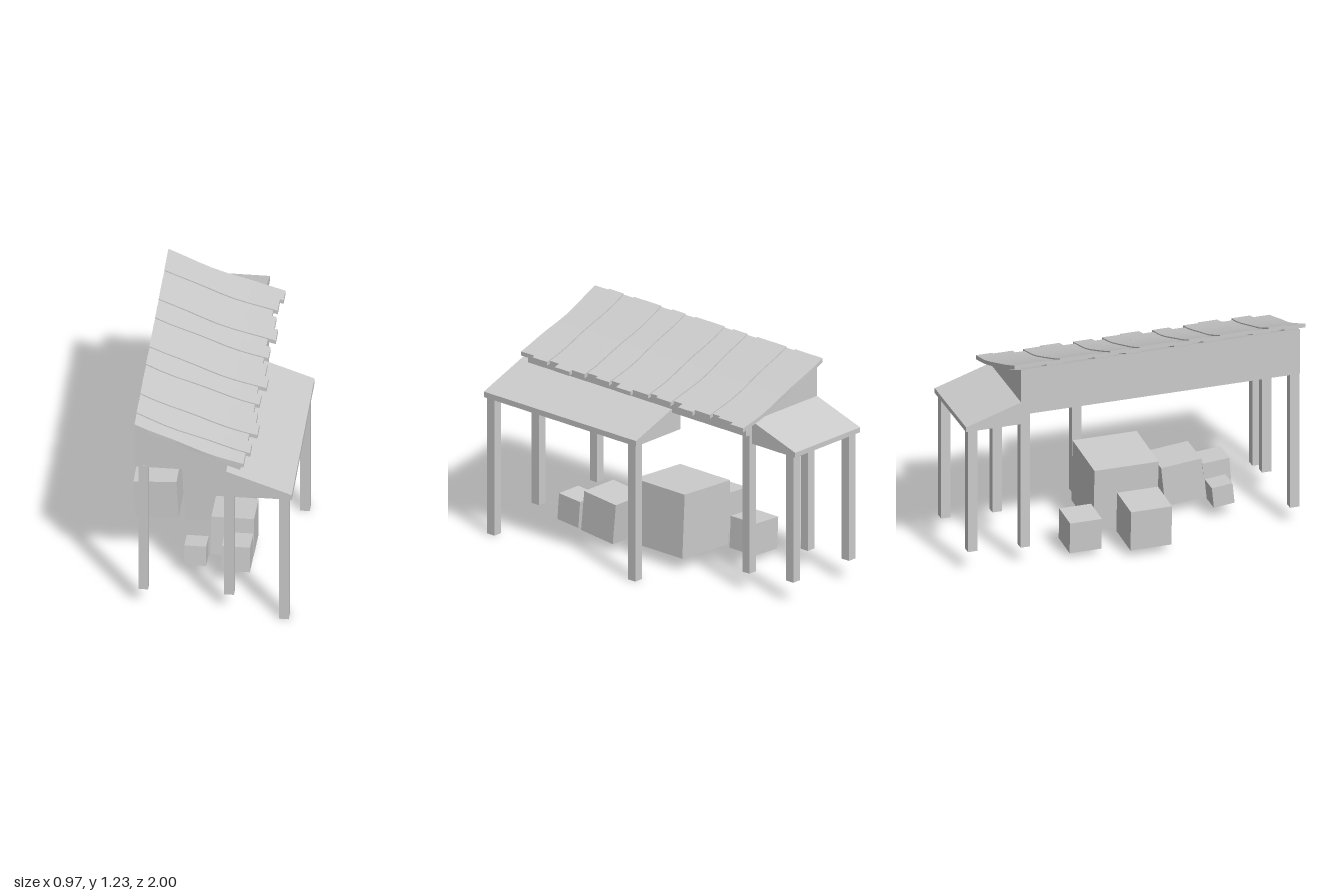
import * as THREE from 'three';

const mat = new THREE.MeshStandardMaterial({ color: 0xcccccc, flatShading: true, side: THREE.DoubleSide });

// Height of the sagging main roof at a given x
const roofY = (x) => 1.073 - 0.335 * x + 0.16 * x * x;

function add(parent, name, geometry, x = 0, y = 0, z = 0) {
  const mesh = new THREE.Mesh(geometry, mat);
  mesh.name = name;
  mesh.position.set(x, y, z);
  parent.add(mesh);
  return mesh;
}

function polygon(points) {
  return new THREE.Shape(points.map(([x, y]) => new THREE.Vector2(x, y)));
}

// Strip running down the roof curve, with wavering long edges
function roofStrip(x0, x1, z0, z1, thickness, lift, wobble = 0, seed = 0) {
  const geo = new THREE.BoxGeometry(1, 1, 1, 8, 1, 1);
  const p = geo.attributes.position;
  for (let i = 0; i < p.count; i++) {
    const t = p.getX(i) + 0.5;
    const x = x0 + (x1 - x0) * t;
    const side = p.getZ(i) > 0 ? 1 : -1;
    const waver = wobble * Math.sin(t * Math.PI) * Math.sin(t * 7 + seed * 2.3 + side);
    const y = roofY(x) + lift + (p.getY(i) - 0.5) * thickness;
    p.setXYZ(i, x, y, (side > 0 ? z1 : z0) + waver);
  }
  return geo;
}

export function createModel() {
  const model = new THREE.Group();
  model.name = 'openShed';

  // Main roof body: thin walls, open underneath
  const body = new THREE.Group();
  body.name = 'mainRoofBody';
  model.add(body);
  const xL = -0.39, xR = 0.19, zF = 0.94, zB = -0.68, base = 0.922, drop = 0.036;
  const outline = [[xL, base], [xR, base]];
  for (let i = 0; i <= 8; i++) {
    const x = xR + ((xL - xR) * i) / 8;
    outline.push([x, roofY(x) - drop]);
  }
  add(body, 'frontGable', new THREE.ShapeGeometry(polygon(outline)), 0, 0, zF);
  add(body, 'backGable', new THREE.ShapeGeometry(polygon(outline)), 0, 0, zB);
  for (const [name, x] of [['leftWall', xR], ['rightWall', xL]]) {
    const h = roofY(x) - drop - base;
    const wall = new THREE.PlaneGeometry(zF - zB, h).rotateY(x > 0 ? Math.PI / 2 : -Math.PI / 2);
    add(body, name, wall, x, base + h / 2, (zF + zB) / 2);
  }
  add(body, 'roofDeck', roofStrip(xL, xR, zB, zF, 0.004, -drop + 0.003));

  // Roof planks: uneven widths, long ones lie a little higher
  const planks = new THREE.Group();
  planks.name = 'roofPlanks';
  model.add(planks);
  const seams = [-0.72, -0.63, -0.52, -0.45, -0.34, -0.24, -0.16, -0.06, 0.01, 0.12,
    0.22, 0.3, 0.39, 0.48, 0.575, 0.675, 0.76, 0.86, 0.97];
  const ends = [0.257, 0.237, 0.212, 0.237, 0.257, 0.212, 0.237, 0.212, 0.237,
    0.257, 0.212, 0.237, 0.212, 0.237, 0.257, 0.212, 0.237, 0.212];
  ends.forEach((end, i) => {
    const lift = end > 0.22 ? 0.002 : -0.005;
    const lap = end > 0.22 ? 0.004 : 0.012;
    add(planks, 'plank', roofStrip(xL, end, seams[i] - (i ? lap : 0),
      seams[i + 1] + (i < 17 ? lap : 0), 0.024, lift, 0.009, i));
  });

  // Side lean-to, sloping down towards +x
  const side = polygon([[0.12, 0.805], [0.483, 0.805], [0.483, 0.837], [0.12, 0.967]]);
  add(model, 'sideLeanTo', new THREE.ExtrudeGeometry(side, { depth: 1.13, bevelEnabled: false }), 0, 0, -0.13);

  // Back lean-to, sloping down towards -z (profile drawn in depth and height)
  const back = polygon([[0.68, 0.866], [1, 0.866], [1, 0.895], [0.68, 0.998]]);
  const backGeo = new THREE.ExtrudeGeometry(back, { depth: 0.53, bevelEnabled: false }).rotateY(Math.PI / 2);
  add(model, 'backLeanTo', backGeo, -0.39, 0, 0);

  // Square posts: x, z, bottom, top
  const posts = [
    ['mainPost', -0.345, 0.915, 0.105, 0.93], ['mainPost', 0.13, 0.915, 0.105, 0.93],
    ['mainPost', -0.345, -0.65, 0.105, 0.93], ['mainPost', 0.13, -0.65, 0.105, 0.93],
    ['sidePost', 0.438, 0.965, 0, 0.81], ['sidePost', 0.438, -0.082, 0, 0.81],
    ['backPost', -0.345, -0.955, 0.125, 0.87], ['backPost', 0.109, -0.955, 0.125, 0.87],
  ];
  for (const [name, x, z, y0, y1] of posts) {
    add(model, name, new THREE.BoxGeometry(0.054, y1 - y0, 0.054), x, (y0 + y1) / 2, z);
  }

  // Tumbled crates: size, centre, tilt about x, tilt about z
  const crates = [
    [0.372, -0.02, 0.25, -0.008, 0, 0.052],
    [0.238, -0.36, 0.165, 0.045, 0, 0.052],
    [0.185, -0.29, 0.127, -0.302, 0, 0.052],
    [0.236, 0.1, 0.178, 0.39, -0.1, 0],
    [0.156, 0.139, 0.162, 0.612, -0.08, 0],
    [0.121, -0.092, 0.13, 0.575, -0.1, 0],
  ];
  for (const [s, x, y, z, rx, rz] of crates) {
    add(model, 'crate', new THREE.BoxGeometry(s, s, s), x, y, z).rotation.set(rx, 0, rz);
  }

  return model;
}
